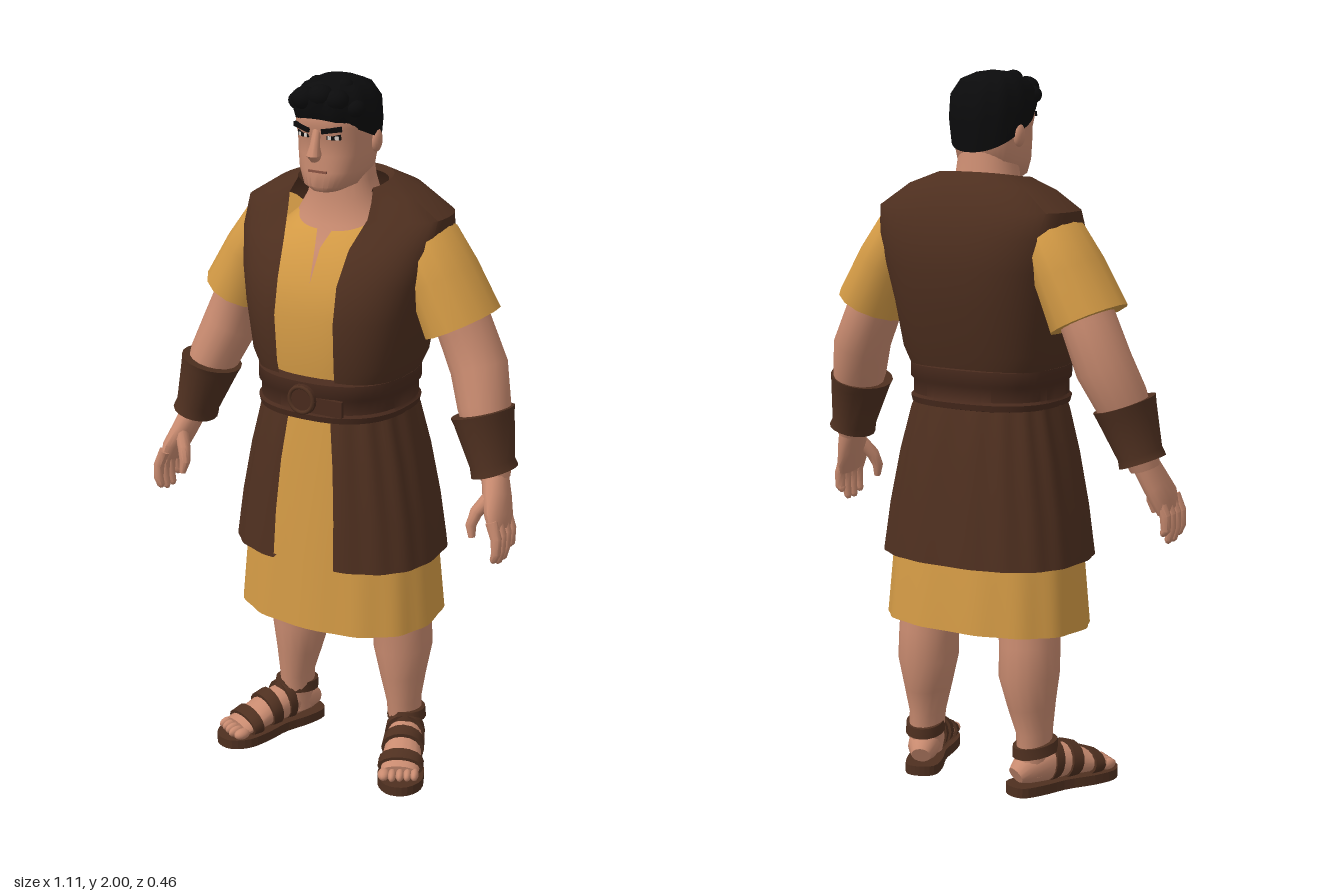
import * as THREE from 'three';
import { toCreasedNormals, mergeGeometries } from 'three/addons/utils/BufferGeometryUtils.js';

const V = (x, y, z) => new THREE.Vector3(x, y, z);
const mat = (name, color) => new THREE.MeshStandardMaterial({ name, color, side: THREE.DoubleSide });

// Skin over rows of points, smooth with kept hems
function grid(rows, crease = 0.8) {
  const m = rows[0].length, idx = [];
  for (let j = 0; j < rows.length - 1; j++)
    for (let i = 0; i < m - 1; i++) {
      const a = j * m + i, b = a + m;
      idx.push(a, a + 1, b + 1, a, b + 1, b);
    }
  const g = new THREE.BufferGeometry();
  g.setAttribute('position', new THREE.Float32BufferAttribute(rows.flat().flatMap(p => [p.x, p.y, p.z]), 3));
  g.setIndex(idx);
  return toCreasedNormals(g, crease);
}

// Upright shell, rings from bottom to top:
// [y, half width, middle z, front z, back z, front drop, half front opening, fold depth]
function shell(rings, { n = 44, e = 2.5, folds = 13 } = {}) {
  const pow = v => Math.sign(v) * Math.abs(v) ** (2 / e);
  return grid(rings.map(([y, rx, zc, zf, zb, drop = 0, open = 0, fold = 0]) => {
    const a = Math.asin(Math.min(1, open / rx) ** (e / 2));
    return Array.from({ length: n + 1 }, (_, i) => {
      const t = a + (2 * Math.PI - 2 * a) * i / n;
      const c = Math.cos(t), k = 1 + fold * Math.cos(folds * t);
      return V(rx * k * pow(Math.sin(t)), y - drop * c, zc + k * pow(c) * (c > 0 ? zf - zc : zc - zb));
    });
  }));
}

// Closed limb along a path: [x, y, z, radius across, radius along ref]
function limb(pts, { n = 16, ref = V(0, 0, 1) } = {}) {
  const P = pts.map(p => V(p[0], p[1], p[2])), last = P.length - 1;
  const rows = P.map((p, j) => {
    const t = P[Math.min(j + 1, last)].clone().sub(P[Math.max(j - 1, 0)]).normalize();
    const s = ref.clone().addScaledVector(t, -ref.dot(t)).normalize();
    const a = s.clone().cross(t);
    return Array.from({ length: n + 1 }, (_, i) => {
      const w = 2 * Math.PI * i / n;
      return p.clone().addScaledVector(a, pts[j][3] * Math.cos(w)).addScaledVector(s, pts[j][4] * Math.sin(w));
    });
  });
  const cap = p => Array.from({ length: n + 1 }, () => p.clone());
  return grid([cap(P[0]), ...rows, cap(P[last])]);
}

function blob(x, y, z, sx, sy, sz) {
  return new THREE.SphereGeometry(1, 14, 10).scale(sx, sy, sz).translate(x, y, z);
}

// Mirror across x, keeping faces outward
function mirrored(geo) {
  const g = geo.index ? geo.toNonIndexed() : geo.clone();
  for (const key of ['position', 'normal']) {
    const a = g.attributes[key], s = a.array;
    for (let i = 0; i < s.length; i += 9)
      for (let k = 0; k < 3; k++) [s[i + 3 + k], s[i + 6 + k]] = [s[i + 6 + k], s[i + 3 + k]];
    for (let i = 0; i < s.length; i += 3) s[i] *= -1;
  }
  return g;
}

export function createModel() {
  const model = new THREE.Group();
  model.name = 'robedMan';
  const skin = mat('skin', 0xc98b70), gold = mat('goldCloth', 0xd39a45), vest = mat('brownCloth', 0x4e2f1f);
  const belt = mat('beltLeather', 0x482a1d), leather = mat('darkLeather', 0x4f3020), hair = mat('blackHair', 0x0b0b0c);
  const white = mat('eyeWhite', 0xd8d0c8), lip = mat('lipLine', 0x8a5343);
  const add = (name, geo, m) => {
    const mesh = new THREE.Mesh(geo, m);
    mesh.name = name;
    model.add(mesh);
  };
  const pair = (name, geo, m) => { add(name + 'Left', geo, m); add(name + 'Right', mirrored(geo), m); };

  // Neck and chest
  add('neckAndChest', shell([
    [1.36, 0.2, 0, 0.17, -0.15], [1.46, 0.2, 0, 0.163, -0.15], [1.55, 0.18, -0.02, 0.118, -0.14],
    [1.62, 0.135, -0.02, 0.083, -0.11, 0.02], [1.67, 0.1, -0.01, 0.07, -0.1], [1.72, 0.088, 0, 0.068, -0.09],
    [1.78, 0.08, 0, 0.07, -0.08]], { e: 2.2 }), skin);

  // Head
  add('head', shell([
    [1.7, 0.002, 0.06, 0.062, 0.058], [1.7, 0.04, 0.06, 0.125, -0.01], [1.715, 0.07, 0.04, 0.138, -0.03],
    [1.755, 0.091, 0.02, 0.136, -0.07], [1.8, 0.096, 0.02, 0.134, -0.085], [1.845, 0.099, 0.02, 0.132, -0.09],
    [1.875, 0.1, 0.02, 0.147, -0.09], [1.92, 0.098, 0.02, 0.14, -0.09], [1.96, 0.07, 0.02, 0.1, -0.06],
    [1.97, 0.002, 0.02, 0.022, 0.018]], { e: 2.5, n: 36 }), skin);
  add('nose', limb([[0, 1.88, 0.135, 0.01, 0.008], [0, 1.83, 0.148, 0.013, 0.014], [0, 1.805, 0.153, 0.02, 0.021],
    [0, 1.793, 0.146, 0.014, 0.014]], { n: 10 }), skin);
  add('mouth', new THREE.BoxGeometry(0.055, 0.006, 0.008).translate(0, 1.757, 0.134), lip);
  pair('ear', blob(0.1, 1.825, -0.005, 0.014, 0.032, 0.022), skin);
  const plate = (w, h, y, z, roll) => new THREE.BoxGeometry(w, h, 0.008).rotateZ(roll).rotateY(0.3).translate(0.045, y, z);
  pair('eyebrow', plate(0.055, 0.013, 1.873, 0.139, 0.16), hair);
  pair('eyeLid', plate(0.038, 0.015, 1.853, 0.126, 0), hair);
  pair('eye', plate(0.03, 0.009, 1.851, 0.129, 0), white);
  pair('pupil', plate(0.01, 0.01, 1.851, 0.131, 0), hair);

  // Hair
  add('hair', shell([
    [1.84, 0.09, 0.01, 0.125, -0.085, -0.06], [1.84, 0.104, 0.01, 0.148, -0.096, -0.06],
    [1.89, 0.11, 0.02, 0.156, -0.104, -0.03, 0, 0.02], [1.94, 0.106, 0.02, 0.155, -0.098, -0.01, 0, 0.025],
    [1.975, 0.082, 0.02, 0.125, -0.065, 0, 0, 0.03], [1.992, 0.045, 0.02, 0.08, -0.02], [1.998, 0.002, 0.02, 0.022, 0.018]],
  { e: 2.2, folds: 11 }), hair);
  [[-0.04, 1.948, 0.13, 0.036], [0.005, 1.957, 0.125, 0.036], [0.047, 1.948, 0.115, 0.034], [-0.08, 1.93, 0.09, 0.03],
    [0.082, 1.925, 0.085, 0.03], [-0.035, 1.975, 0.07, 0.026], [0.04, 1.973, 0.06, 0.026]].forEach(([x, y, z, r]) =>
    add('hairCurl', blob(x, y, z, r, r * 0.85, r), hair));

  // Tunic with a slit neckline
  add('tunicTop', shell([
    [1.1, 0.19, 0, 0.18, -0.15], [1.22, 0.21, 0, 0.195, -0.16], [1.37, 0.238, 0, 0.202, -0.19],
    [1.46, 0.25, -0.01, 0.18, -0.2], [1.55, 0.21, -0.02, 0.137, -0.17, 0, 0.008],
    [1.63, 0.118, -0.01, 0.1, -0.1, 0.04, 0.022]]), gold);
  add('tunicSkirt', shell([
    [0.465, 0.28, 0, 0.195, -0.205, 0.008, 0, 0.012], [0.465, 0.294, 0, 0.21, -0.218, 0.008, 0, 0.012],
    [0.66, 0.276, 0, 0.2, -0.205, 0, 0, 0.01], [0.95, 0.225, 0, 0.185, -0.17], [1.12, 0.185, 0, 0.17, -0.14]],
  { e: 2.4, n: 78 }), gold);
  pair('sleeve', limb([[0.215, 1.595, -0.045, 0.06, 0.095], [0.235, 1.56, -0.045, 0.078, 0.118],
    [0.285, 1.468, -0.045, 0.092, 0.128], [0.345, 1.345, -0.045, 0.104, 0.132]], { n: 14 }), gold);

  // Open vest
  add('vestTop', shell([
    [1.18, 0.21, 0, 0.2, -0.16, 0, 0.085], [1.24, 0.236, 0, 0.211, -0.18, 0, 0.088],
    [1.37, 0.254, 0, 0.219, -0.21, 0, 0.09], [1.47, 0.276, -0.01, 0.197, -0.225, 0, 0.09],
    [1.56, 0.295, -0.03, 0.148, -0.223, 0, 0.1], [1.63, 0.296, -0.04, 0.088, -0.2, 0, 0.122],
    [1.685, 0.21, -0.02, 0.078, -0.165, 0.015, 0.125], [1.715, 0.13, -0.01, 0.07, -0.118, 0.015, 0.115],
    [1.7, 0.117, -0.01, 0.06, -0.105, 0.015, 0.105]], { e: 2.7 }), vest);
  add('vestSkirt', shell([
    [0.662, 0.282, 0, 0.212, -0.215, 0, 0.096, 0.008], [0.66, 0.299, 0, 0.23, -0.23, 0, 0.096, 0.008],
    [0.8, 0.278, 0, 0.221, -0.215, 0, 0.092, 0.012], [0.95, 0.248, 0, 0.207, -0.192, 0, 0.082, 0.016],
    [1.07, 0.217, 0, 0.193, -0.167, 0, 0.068, 0.02], [1.13, 0.2, 0, 0.18, -0.15, 0, 0.062]],
  { e: 2.5, n: 84, folds: 17 }), vest);

  // Belt with two raised bands and a round buckle
  const beltRings = [[1.083, 0.195], [1.088, 0.214], [1.105, 0.218], [1.112, 0.211], [1.15, 0.211], [1.158, 0.218],
    [1.196, 0.218], [1.205, 0.195]];
  add('belt', shell(beltRings.map(([y, r]) => [y, r, 0, r + 0.002, 0.045 - r])), belt);
  add('buckle', new THREE.CylinderGeometry(0.042, 0.045, 0.024, 20).rotateX(Math.PI / 2).translate(0, 1.148, 0.217), belt);
  add('buckleRim', new THREE.TorusGeometry(0.036, 0.006, 8, 24).translate(0, 1.148, 0.228), leather);
  add('beltTab', new THREE.BoxGeometry(0.1, 0.045, 0.012).translate(0.07, 1.135, 0.214), belt);

  // Arms, cuffs and hands
  pair('arm', limb([[0.26, 1.52, -0.045, 0.07, 0.09], [0.35, 1.33, -0.05, 0.073, 0.09], [0.395, 1.225, -0.05, 0.077, 0.09],
    [0.43, 1.13, -0.015, 0.07, 0.085], [0.465, 1.02, 0.008, 0.055, 0.065], [0.485, 0.945, 0.02, 0.04, 0.046]]), skin);
  pair('cuff', limb([[0.432, 1.12, -0.002, 0.084, 0.102], [0.438, 1.1, 0, 0.079, 0.097], [0.472, 0.985, 0.014, 0.059, 0.073],
    [0.48, 0.962, 0.015, 0.063, 0.076]], { n: 18 }), leather);
  pair('palm', limb([[0.483, 0.96, 0.02, 0.036, 0.042], [0.503, 0.905, 0.045, 0.033, 0.054], [0.52, 0.86, 0.068, 0.028, 0.062],
    [0.528, 0.828, 0.075, 0.02, 0.056]]), skin);
  const fingers = [0, 1, 2, 3].map(i => {
    const z = 0.03 + i * 0.03, tip = 0.742 + (i === 0 ? 0.025 : i === 3 ? 0.012 : 0);
    return limb([[0.523, 0.86, z, 0.017, 0.016], [0.541, 0.815, z + 0.004, 0.016, 0.016],
      [0.542, 0.775, z + 0.006, 0.014, 0.014], [0.535, tip, z + 0.005, 0.011, 0.011], [0.532, tip - 0.008, z + 0.005, 0.005, 0.005]], { n: 8 });
  });
  pair('fingers', mergeGeometries(fingers), skin);
  pair('thumb', limb([[0.497, 0.915, 0.07, 0.02, 0.022], [0.468, 0.87, 0.1, 0.018, 0.019], [0.459, 0.835, 0.112, 0.015, 0.016],
    [0.465, 0.803, 0.117, 0.009, 0.01]], { n: 10 }), skin);

  // Legs
  pair('leg', limb([[0.14, 0.8, -0.01, 0.1, 0.11], [0.16, 0.52, -0.04, 0.088, 0.098], [0.168, 0.42, -0.053, 0.083, 0.093],
    [0.169, 0.34, -0.056, 0.083, 0.095], [0.174, 0.25, -0.05, 0.063, 0.08], [0.18, 0.17, -0.045, 0.047, 0.063],
    [0.182, 0.1, -0.05, 0.045, 0.06], [0.182, 0.05, -0.05, 0.042, 0.055]], { n: 18 }), skin);

  // Sandalled feet, made facing +z then turned outward
  const place = g => g.rotateY(0.4).translate(0.222, 0, 0.035);
  const along = { ref: V(1, 0, 0) };
  const outline = [[0, -0.18], [0.04, -0.165], [0.052, -0.1], [0.05, -0.02], [0.066, 0.08], [0.06, 0.145], [0.02, 0.183],
    [-0.03, 0.178], [-0.062, 0.13], [-0.062, 0.06], [-0.048, -0.02], [-0.052, -0.1], [-0.04, -0.165]];
  const shape = new THREE.Shape(new THREE.CatmullRomCurve3(outline.map(p => V(p[0], p[1], 0)), true).getPoints(40).slice(0, -1)
    .map(p => new THREE.Vector2(p.x, p.y)));
  pair('sandalSole', place(new THREE.ExtrudeGeometry(shape, { depth: 0.028, bevelEnabled: false }).rotateX(Math.PI / 2)
    .translate(0, 0.028, 0)), leather);
  pair('foot', place(limb([[0, 0.055, -0.16, 0.025, 0.028], [0, 0.07, -0.13, 0.045, 0.044], [0, 0.08, -0.06, 0.058, 0.05],
    [0, 0.07, 0.02, 0.046, 0.052], [0, 0.052, 0.09, 0.03, 0.057], [0, 0.045, 0.13, 0.022, 0.053]], along)), skin);
  [-0.044, -0.02, 0.002, 0.023, 0.043].forEach((x, i) =>
    pair('toe', place(blob(x, 0.043, 0.145 - 0.004 * Math.abs(i - 1), i ? 0.012 : 0.017, 0.016, 0.026)), skin));
  pair('toeStrap', place(limb([[0, 0.055, 0.075, 0.043, 0.065], [0, 0.05, 0.108, 0.035, 0.065]], along)), leather);
  pair('instepStrap', place(limb([[0, 0.075, 0, 0.058, 0.06], [0, 0.07, 0.034, 0.051, 0.062]], along)), leather);
  pair('ankleStrap', place(limb([[0, 0.142, -0.094, 0.054, 0.068], [0, 0.112, -0.09, 0.057, 0.072]])), leather);
  pair('sideStrap', place(limb([[0, 0.085, -0.055, 0.066, 0.057], [0, 0.083, -0.03, 0.06, 0.058]], along)), leather);
  return model;
}
